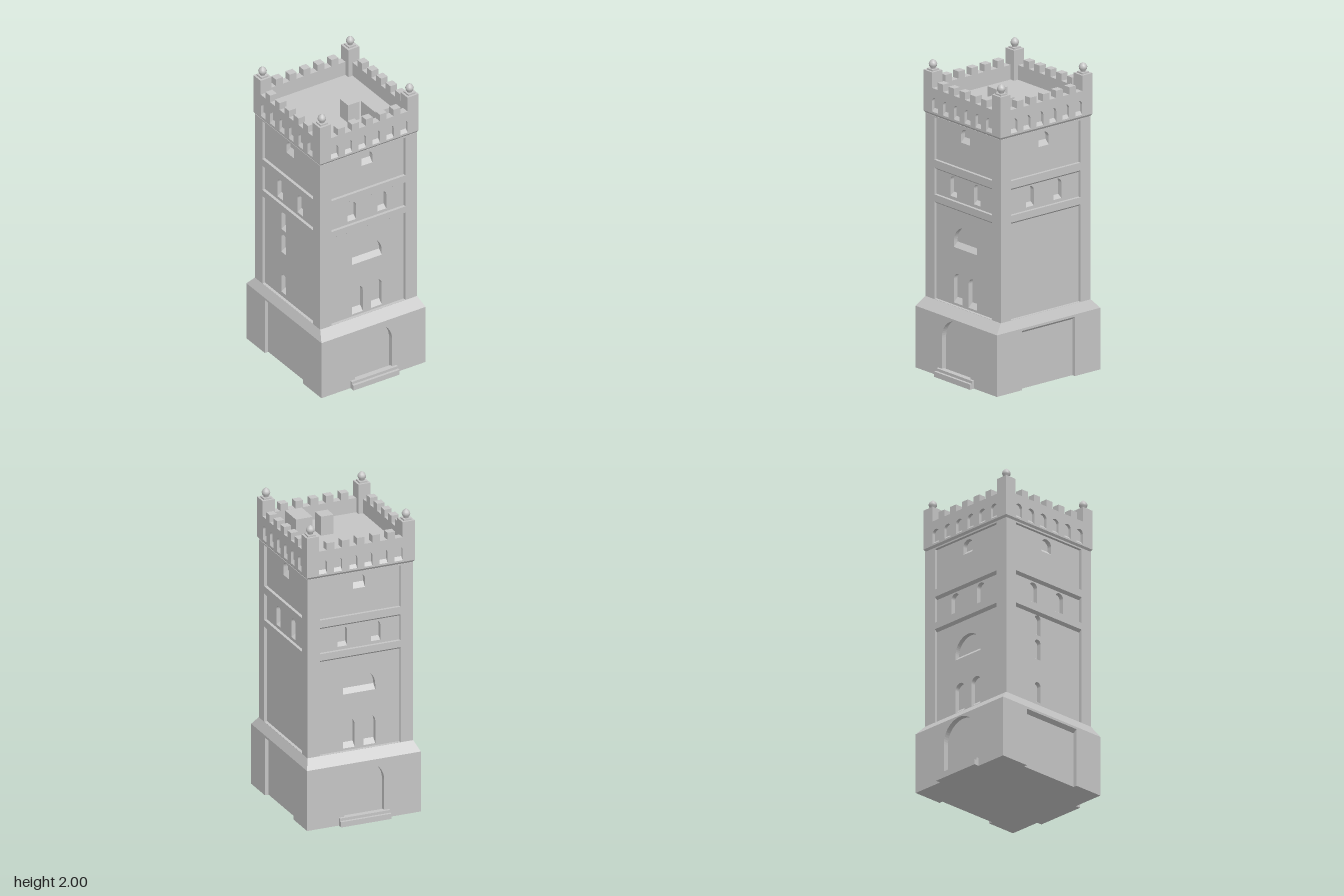
import * as THREE from 'three';

const stone = new THREE.MeshStandardMaterial({ color: 0xc4c4c4 });
stone.name = 'stone';

function add(parent, name, geo, x = 0, y = 0, z = 0) {
  const m = new THREE.Mesh(geo, stone);
  m.name = name;
  m.position.set(x, y, z);
  parent.add(m);
  return m;
}

// Box given by its limits
function block(parent, name, x0, x1, y0, y1, z0, z1) {
  return add(parent, name, new THREE.BoxGeometry(x1 - x0, y1 - y0, z1 - z0),
    (x0 + x1) / 2, (y0 + y1) / 2, (z0 + z1) / 2);
}

// Four-sided block whose top has a different size from its bottom
function taper(parent, name, y0, y1, bx, bz, tx, tz) {
  const geo = new THREE.BoxGeometry(2, 1, 2);
  const p = geo.attributes.position;
  for (let i = 0; i < p.count; i++) {
    const top = p.getY(i) > 0;
    p.setXYZ(i, p.getX(i) * (top ? tx : bx), top ? y1 : y0, p.getZ(i) * (top ? tz : bz));
  }
  geo.computeVertexNormals();
  add(parent, name, geo);
}

const poly = (pts) => new THREE.Shape(pts.map(([x, y]) => new THREE.Vector2(x, y)));
const rect = (x0, x1, y0, y1) => poly([[x0, y0], [x1, y0], [x1, y1], [x0, y1]]);

// Round-headed opening
function arch(cx, y0, y1, w) {
  const r = w / 2, s = new THREE.Path();
  s.moveTo(cx - r, y0);
  s.lineTo(cx + r, y0);
  s.lineTo(cx + r, y1 - r);
  s.absarc(cx, y1 - r, r, 0, Math.PI, false);
  s.lineTo(cx - r, y0);
  return s;
}

// Wall layer with openings, its face at zFront
function plate(parent, name, shape, holes, depth, zFront) {
  shape.holes = holes;
  const geo = new THREE.ExtrudeGeometry(shape, { depth, bevelEnabled: false, curveSegments: 14 });
  add(parent, name, geo, 0, 0, zFront - depth);
}

// Sloping sill (h > 0) or sloping soffit (h < 0) inside a recess
function ramp(parent, name, cx, w, y, h, zFront, depth) {
  const geo = new THREE.ExtrudeGeometry(poly([[-depth, y], [0, y], [-depth, y + h]]),
    { depth: w, bevelEnabled: false });
  geo.rotateY(-Math.PI / 2);
  add(parent, name, geo, cx + w / 2, 0, zFront);
}

// Layer pierced by arched openings [cx, y0, y1, width, sill height]
function archedPlate(parent, name, shape, list, depth, zFront) {
  plate(parent, name, shape, list.map(([x, a, b, w]) => arch(x, a, b, w)), depth, zFront);
  for (const [x, a, , w, h] of list) if (h) ramp(parent, 'sill', x, w, a, h, zFront, depth);
}

const BASE = [0.385, 0.42], SHAFT = [0.358, 0.365], TOP = [0.365, 0.373];
const REC = 0.02, WIN = 0.03, POST = 0.082, WALL = 0.05;

function buildSide(root, name, angle, facing, extraWindows) {
  const g = new THREE.Group();
  g.name = name;
  g.rotation.y = angle;
  root.add(g);
  const end = facing === 'z';              // door sides face z
  const pick = ([x, z]) => (end ? [x, z] : [z, x]);

  // Base: arched door with steps, or a wide square recess
  const [bw, bd] = pick(BASE);
  if (end) {
    archedPlate(g, 'doorWall', rect(-bw, bw, 0, 0.4), [[0, 0.03, 0.39, 0.274, 0]], 0.035, bd);
    block(g, 'lowerStep', -0.17, 0.17, 0, 0.035, bd - 0.02, 0.455);
    block(g, 'upperStep', -0.17, 0.17, 0, 0.053, bd - 0.02, 0.437);
  } else {
    const w = bw - 0.035, r = 0.214;
    plate(g, 'baseWall', poly([[-w, 0], [-r, 0], [-r, 0.385], [r, 0.385], [r, 0],
      [w, 0], [w, 0.4], [-w, 0.4]]), [], 0.025, bd);
    ramp(g, 'recessSoffit', 0, 2 * r, 0.385, -0.02, bd, 0.025);
  }

  // Shaft: frame with three sunken panels
  const [sw, sd] = pick(SHAFT);
  const pw = end ? 0.273 : 0.283;
  const fw = end ? sw : sw - REC;
  const panels = [[0.461, 1.095], [1.14, 1.315], [1.365, 1.64]];
  plate(g, 'shaftFrame', rect(-fw, fw, 0.455, 1.65),
    panels.map(([a, b]) => rect(-pw, pw, a, b)), REC, sd);
  for (const [, y] of panels.slice(0, 2)) ramp(g, 'panelSoffit', 0, 2 * pw, y, -0.015, sd, REC);

  // Windows in the panels
  const windows = [
    [-0.112, 1.16, 1.292, 0.064, 0.02], [0.112, 1.16, 1.292, 0.064, 0.02],
    [0, 1.53, 1.622, 0.082, 0.03], ...extraWindows,
  ];
  const ww = end ? sw - REC : sw - REC - WIN;
  archedPlate(g, 'panelWall', rect(-ww, ww, 0.455, 1.65), windows, WIN, sd - REC);

  // Parapet: row of niches, backing wall and merlons
  const [tw, td] = pick(TOP);
  const nw = end ? tw : tw - REC;
  const niches = [];
  for (let i = 0; i < 6; i++) {
    niches.push([(i - 2.5) * (end ? 0.1025 : 0.105), 1.677, 1.77, 0.054, 0.02]);
  }
  archedPlate(g, 'parapetNiches', rect(-nw, nw, 1.665, 1.83), niches, REC, td);
  block(g, 'parapetWall', -tw + REC, tw - REC, 1.665, 1.83, td - WALL, td - REC);
  const span = tw - POST, cell = 2 * span / 11;
  for (let i = 0; i < 5; i++) {
    const x = -span + cell * (1 + 2 * i);
    block(g, 'merlon', x, x + cell, 1.83, 1.877, td - WALL, td);
  }
}

export function createModel() {
  const root = new THREE.Group();
  root.name = 'tower';

  // Solid cores behind the wall layers
  block(root, 'baseCore', -0.36, 0.36, 0, 0.4, -0.385, 0.385);
  taper(root, 'baseSlope', 0.4, 0.46, ...BASE, ...SHAFT);
  const inset = REC + WIN;
  block(root, 'shaftCore', -SHAFT[0] + inset, SHAFT[0] - inset, 0.45, 1.65,
    -SHAFT[1] + inset, SHAFT[1] - inset);
  taper(root, 'corbel', 1.643, 1.665, SHAFT[0] - 0.008, SHAFT[1] - 0.008, ...TOP);

  // Four sides; one has a column of stair slits
  const archWindows = [
    [-0.07, 0.475, 0.668, 0.08, 0.03], [0.07, 0.475, 0.668, 0.08, 0.03],
    [0, 0.835, 0.98, 0.22, 0.03],
  ];
  const slits = [0.49, 0.78, 0.945].map((y) => [-0.075, y, y + 0.135, 0.05, 0.02]);
  buildSide(root, 'frontSide', 0, 'z', archWindows);
  buildSide(root, 'backSide', Math.PI, 'z', archWindows);
  buildSide(root, 'leftSide', Math.PI / 2, 'x', []);
  buildSide(root, 'rightSide', -Math.PI / 2, 'x', slits);

  // Roof deck with two small housings
  block(root, 'roofDeck', -0.33, 0.33, 1.664, 1.735, -0.335, 0.335);
  block(root, 'smallHousing', -0.013, 0.072, 1.73, 1.862, 0.065, 0.155);
  block(root, 'largeHousing', 0.1, 0.213, 1.73, 1.843, 0.128, 0.292);

  // Corner posts with finials
  const finial = [[0.016, 0], [0.016, 0.008], [0.025, 0.02], [0.027, 0.032], [0.022, 0.045],
    [0.012, 0.055], [0, 0.062]].map(([r, y]) => new THREE.Vector2(r, y));
  for (const sx of [-1, 1]) for (const sz of [-1, 1]) {
    const x = sx * (TOP[0] - POST / 2), z = sz * (TOP[1] - POST / 2);
    add(root, 'cornerPost', new THREE.BoxGeometry(POST, 0.26, POST), x, 1.8, z);
    add(root, 'finialBase', new THREE.BoxGeometry(0.053, 0.012, 0.053), x, 1.934, z);
    add(root, 'finial', new THREE.LatheGeometry(finial, 12), x, 1.938, z);
  }
  return root;
}
